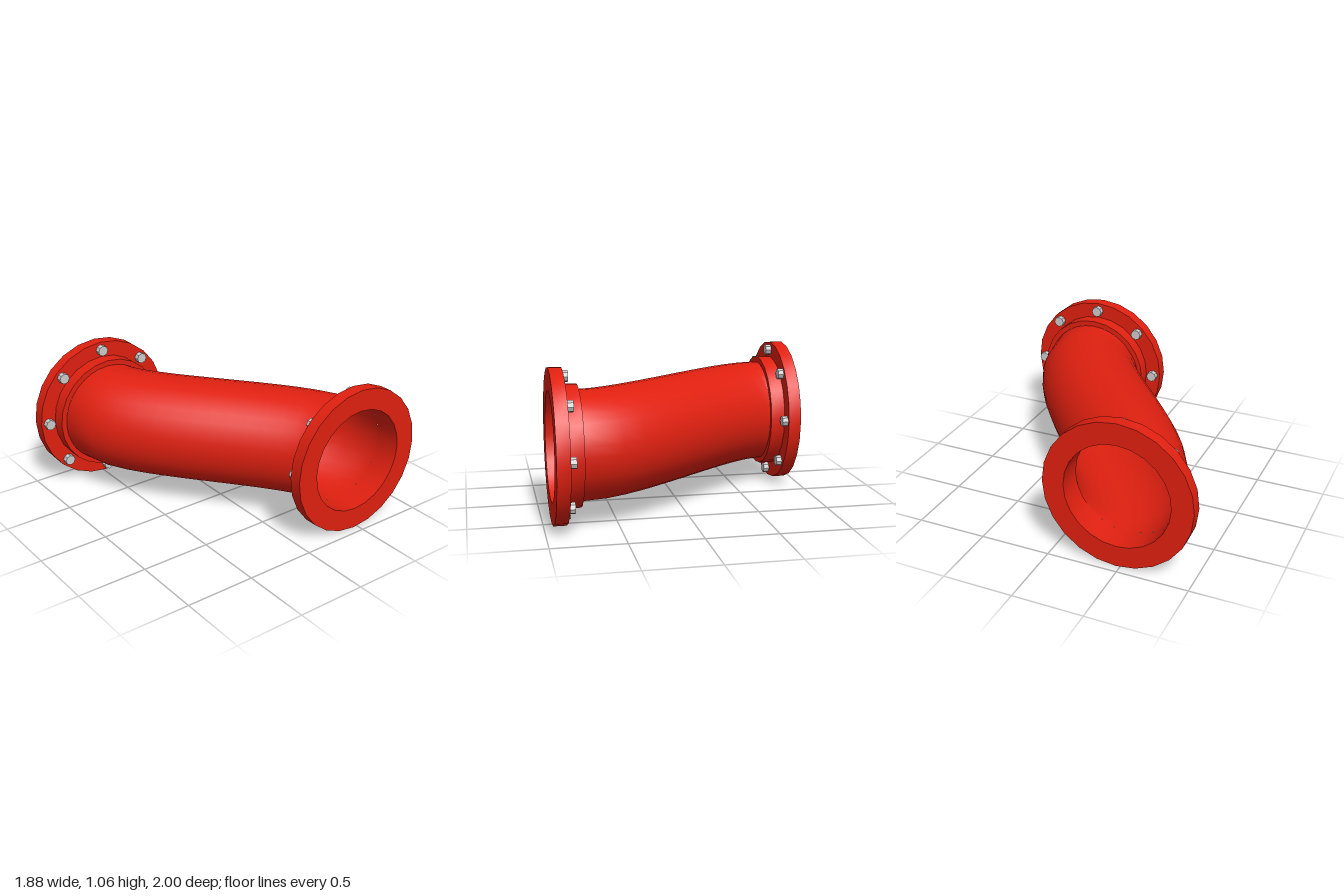
import * as THREE from 'three';
import { toCreasedNormals } from 'three/addons/utils/BufferGeometryUtils.js';

const CENTRE_Y = 0.53;
const OFFSET_Z = 0.47;
const BORE = 0.375;

const red = new THREE.MeshStandardMaterial({ color: 0xe02010 });
const redPipe = new THREE.MeshStandardMaterial({ color: 0xe02010, side: THREE.DoubleSide });
const grey = new THREE.MeshStandardMaterial({ color: 0xcccccc });

function addMesh(parent, name, geometry, material) {
  const mesh = new THREE.Mesh(geometry, material);
  mesh.name = name;
  parent.add(mesh);
  return mesh;
}

// Ring around the x axis: collar step, flange plate and the bore through both
function flangeGeometry() {
  const profile = [
    [BORE, 0.75], [0.415, 0.75], [0.415, 0.85], [0.528, 0.85],
    [0.528, 0.94], [BORE, 0.94], [BORE, 0.75],
  ].map(([r, x]) => new THREE.Vector2(r, x));
  const ring = new THREE.LatheGeometry(profile, 24).rotateZ(-Math.PI / 2);
  return toCreasedNormals(ring, 0.6);
}

// One pipe end: flange with collar, and eight bolt heads on its inner face
function createEnd(name) {
  const end = new THREE.Group();
  end.name = name;
  const flange = addMesh(end, 'flange', flangeGeometry(), red);
  flange.position.set(0, CENTRE_Y, -OFFSET_Z);

  const head = toCreasedNormals(
    new THREE.CylinderGeometry(0.039, 0.039, 0.045, 8).rotateZ(Math.PI / 2), 0.3);
  for (let i = 0; i < 8; i++) {
    const a = (i * Math.PI) / 4;
    const bolt = addMesh(end, 'bolt', head, grey);
    bolt.position.set(0.8325, CENTRE_Y + 0.47 * Math.cos(a), -OFFSET_Z + 0.47 * Math.sin(a));
    bolt.rotation.x = a;
  }
  return end;
}

export function createModel() {
  const model = new THREE.Group();
  model.name = 'offsetPipe';

  // S-bend pipe, open at both ends
  const path = new THREE.CubicBezierCurve3(
    new THREE.Vector3(-0.75, CENTRE_Y, OFFSET_Z),
    new THREE.Vector3(-0.4, CENTRE_Y, OFFSET_Z),
    new THREE.Vector3(0.4, CENTRE_Y, -OFFSET_Z),
    new THREE.Vector3(0.75, CENTRE_Y, -OFFSET_Z),
  );
  addMesh(model, 'pipe', new THREE.TubeGeometry(path, 14, BORE, 32, false), redPipe);

  // The two ends are the same part turned half way round
  const left = createEnd('leftEnd');
  const right = createEnd('rightEnd');
  right.rotation.y = Math.PI;
  model.add(left, right);

  return model;
}
